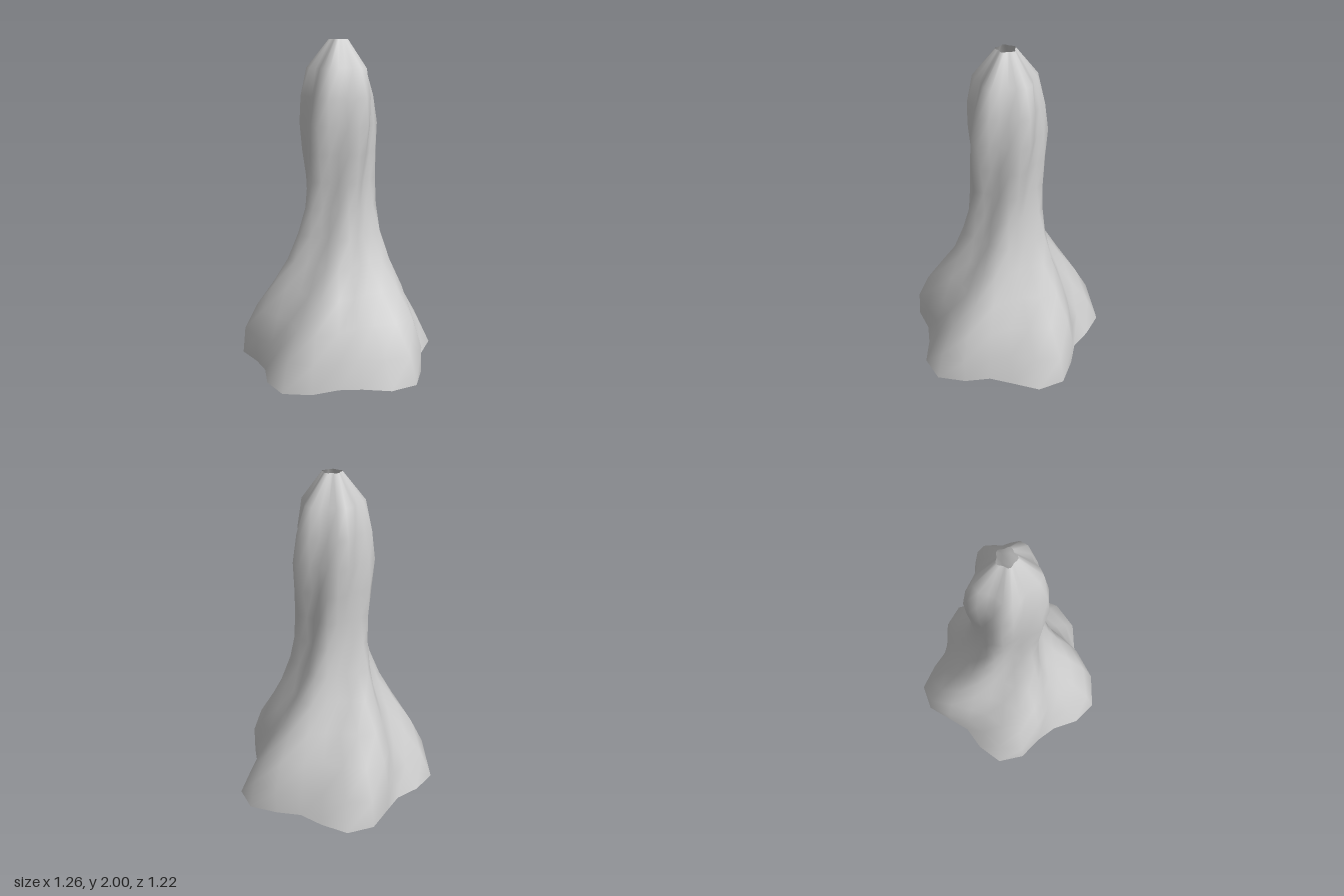
import * as THREE from 'three';

// Mean radius of each ring, evenly spaced from the foot to the rim
const RADII = [0.586, 0.544, 0.468, 0.379, 0.293, 0.24, 0.209, 0.204, 0.214, 0.222, 0.209, 0.172, 0.054];
const SIDES = 24;
const HEIGHT = 2;
const LOBES = 5;
const LOBE_DEPTH = 0.12;
const TWIST = 4; // lobe phase in radians per unit of height
const CENTRE_Z = -0.048;

// Closed loops of a five-lobed section whose lobes turn as they rise
function lobedShell() {
  const positions = [];
  const index = [];
  RADII.forEach((radius, row) => {
    const y = (HEIGHT * row) / (RADII.length - 1);
    for (let i = 0; i < SIDES; i++) {
      const a = (i / SIDES) * Math.PI * 2;
      const r = radius * (1 + LOBE_DEPTH * Math.cos(LOBES * (a - Math.PI / 2) + TWIST * y));
      positions.push(r * Math.cos(a), y, CENTRE_Z + r * Math.sin(a));
      if (row === RADII.length - 1) continue;
      const p = row * SIDES + i;
      const q = row * SIDES + ((i + 1) % SIDES);
      index.push(p, p + SIDES, q, q, p + SIDES, q + SIDES);
    }
  });
  const geometry = new THREE.BufferGeometry();
  geometry.setAttribute('position', new THREE.Float32BufferAttribute(positions, 3));
  geometry.setIndex(index);
  geometry.computeVertexNormals();
  return geometry;
}

export function createModel() {
  const model = new THREE.Group();
  model.name = 'twistedVase';

  const grey = new THREE.MeshStandardMaterial({ color: 0xcccccc, side: THREE.DoubleSide });
  grey.name = 'lightGrey';

  // Thin shell, open at the foot and the rim
  const shell = new THREE.Mesh(lobedShell(), grey);
  shell.name = 'lobedShell';
  model.add(shell);

  return model;
}
